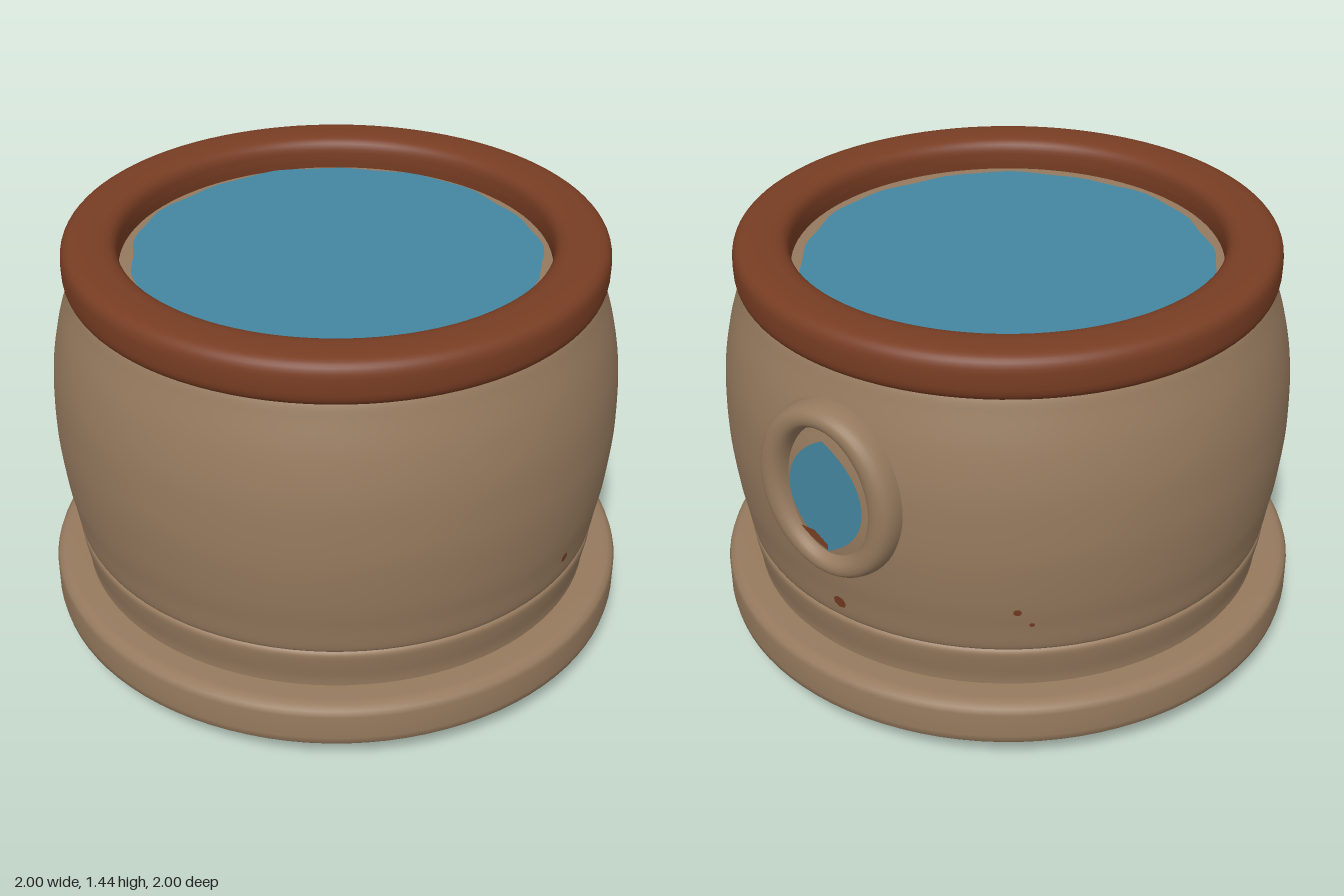
import * as THREE from 'three';
import { ParametricGeometry } from 'three/addons/geometries/ParametricGeometry.js';

const clay = new THREE.MeshStandardMaterial({ color: 0x967a5e });
clay.name = 'clay';
const rust = new THREE.MeshStandardMaterial({ color: 0x783d23 });
rust.name = 'rust';
const water = new THREE.MeshStandardMaterial({ color: 0x4386a0 });
water.name = 'water blue';

const TAU = Math.PI * 2;
const soft = (v, p) => Math.sign(v) * Math.abs(v) ** p;

export function createModel() {
  const model = new THREE.Group();
  model.name = 'pot';

  const add = (name, geometry, material) => {
    const mesh = new THREE.Mesh(geometry, material);
    mesh.name = name;
    model.add(mesh);
    return mesh;
  };
  const lathe = (points) =>
    new THREE.LatheGeometry(points.map(([r, y]) => new THREE.Vector2(r, y)), 96);
  const smoothLathe = (points, n) => {
    const curve = new THREE.SplineCurve(points.map(([r, y]) => new THREE.Vector2(r, y)));
    return new THREE.LatheGeometry(curve.getPoints(n), 96);
  };

  // Foot plate with softened edges
  add('foot', lathe([
    [0.95, 0.085], [0.98, 0.09], [0.995, 0.105], [1, 0.13], [1, 0.215],
    [0.993, 0.235], [0.975, 0.246], [0.95, 0.25], [0.85, 0.25],
  ]), clay);

  // Underside: shallow fluted point in the middle
  add('underside', new ParametricGeometry((u, v, out) => {
    const r = 0.002 + u * 0.958;
    const a = v * TAU;
    const t = Math.max(0, 1 - r / 0.6);
    const flute = 1 - 0.5 * (1 - t) * (0.5 - 0.5 * Math.cos(a * 10));
    out.set(r * Math.cos(a), 0.086 * (1 - t * flute), r * Math.sin(a));
  }, 40, 120), clay);

  // Collar and bulging body
  add('collar', smoothLathe([[0.885, 0.24], [0.888, 0.28], [0.9, 0.34], [0.906, 0.385], [0.895, 0.4]], 16), clay);
  add('body', smoothLathe([
    [0.885, 0.398], [0.907, 0.41], [0.923, 0.5], [0.94, 0.6], [0.954, 0.75], [0.955, 0.87],
    [0.947, 1.0], [0.923, 1.13], [0.89, 1.24], [0.868, 1.3], [0.83, 1.33],
  ], 48), clay);

  // Rounded rim
  const rim = [];
  for (let i = 0; i <= 40; i++) {
    const a = (i / 40) * TAU + Math.PI;
    rim.push([0.802 + 0.093 * soft(Math.cos(a), 0.6), 1.36 + 0.08 * soft(Math.sin(a), 0.6)]);
  }
  add('rim', lathe(rim), rust);

  // Ledge inside the rim and the water surface with a wavering edge
  const ledge = add('innerLedge', new THREE.CircleGeometry(0.8, 64), clay);
  ledge.rotation.x = -Math.PI / 2;
  ledge.position.y = 1.33;
  const pool = new THREE.Shape();
  for (let i = 0; i < 72; i++) {
    const a = (i / 72) * TAU;
    const r = 0.677 + 0.006 * Math.sin(a * 7) + 0.005 * Math.sin(a * 17 + 1);
    pool[i ? 'lineTo' : 'moveTo'](r * Math.cos(a), r * Math.sin(a));
  }
  const surface = add('waterSurface', new THREE.ShapeGeometry(pool), water);
  surface.rotation.x = -Math.PI / 2;
  surface.position.set(0.012, 1.336, -0.01);

  // Oval porthole frame on the side
  add('portholeFrame', new ParametricGeometry((u, v, out) => {
    const c = soft(Math.cos(u * TAU), 0.8);
    const s = soft(Math.sin(u * TAU), 0.8);
    const a = v * TAU;
    out.set(
      0.91 + 0.075 * s,
      0.907 + (0.262 + 0.039 * c) * Math.sin(a),
      (0.213 + 0.052 * c) * Math.cos(a),
    );
  }, 24, 72), clay);

  // Thin lens-shaped pane and the stain at its lower end
  const lens = new THREE.Shape();
  lens.moveTo(0, -0.21);
  lens.bezierCurveTo(0.19, -0.11, 0.19, 0.09, 0, 0.19);
  lens.bezierCurveTo(-0.19, 0.09, -0.19, -0.11, 0, -0.21);
  const pane = add('portholePane', new THREE.ShapeGeometry(lens, 24), water);
  pane.rotation.y = Math.PI / 2;
  pane.position.set(0.959, 0.905, 0);

  const smear = new THREE.Shape();
  smear.moveTo(0, -0.205);
  smear.lineTo(0, -0.185);
  smear.lineTo(-0.05, -0.15);
  smear.lineTo(-0.105, -0.15);
  smear.quadraticCurveTo(-0.07, -0.185, 0, -0.205);
  const stain = add('portholeStain', new THREE.ShapeGeometry(smear), rust);
  stain.rotation.y = Math.PI / 2;
  stain.position.set(0.962, 0.905, 0);

  // Small rust specks around the lower body: x, z, height, radius
  const specks = [
    [0.16, 0.92, 0.51, 0.018], [0.59, 0.73, 0.525, 0.02], [1, 0, 0.475, 0.025],
    [0.75, -0.565, 0.575, 0.014], [0.72, -0.6, 0.52, 0.009],
  ];
  for (const [x, z, y, size] of specks) {
    const a = Math.atan2(x, z);
    const r = 0.928 + (y - 0.5) * 0.17;
    const speck = add('rustSpeck', new THREE.CircleGeometry(size, 7), rust);
    speck.rotation.order = 'YXZ';
    speck.rotation.set(0.17, a, 0);
    speck.position.set(r * Math.sin(a), y, r * Math.cos(a));
  }

  return model;
}
